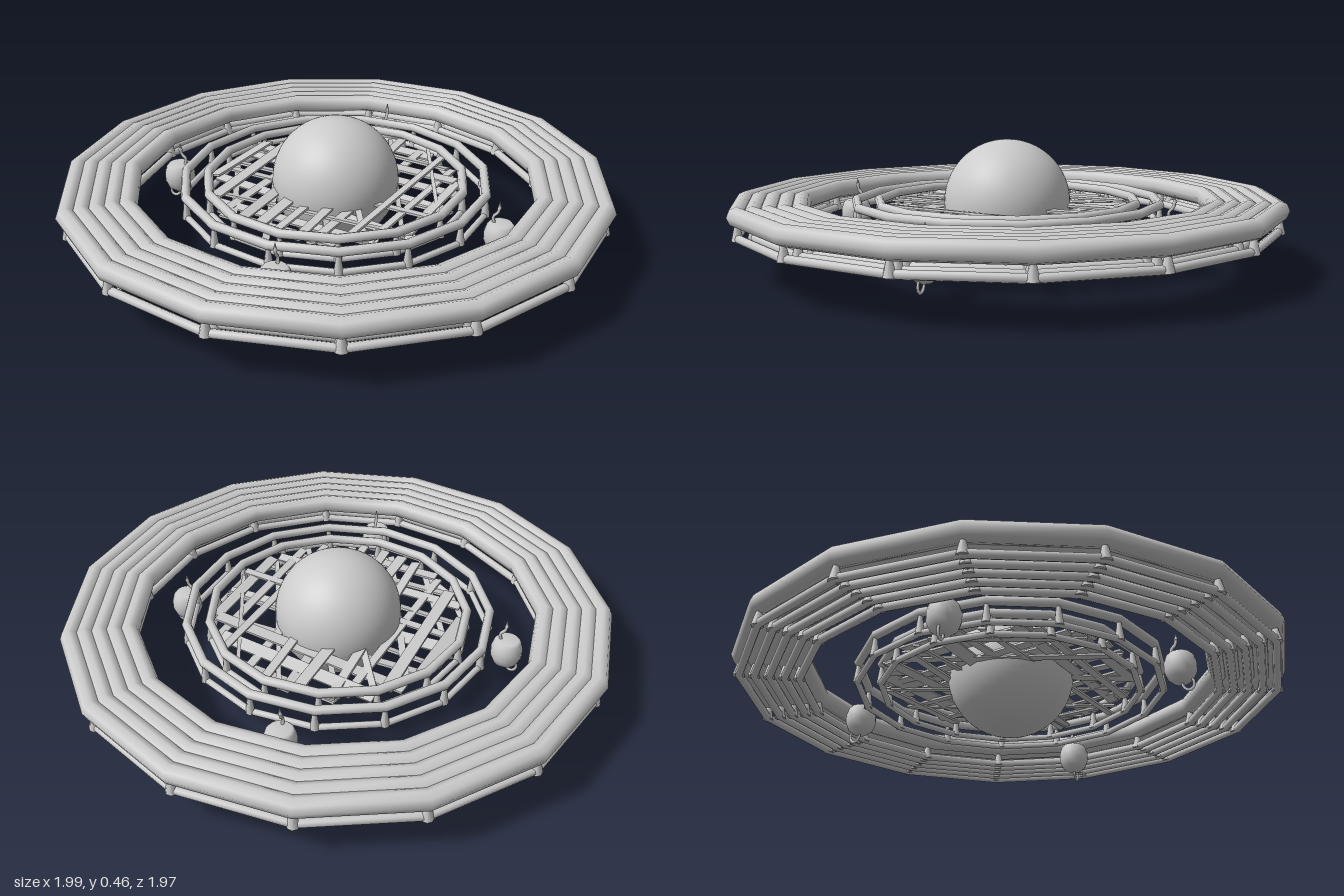
import * as THREE from 'three';

export function createModel() {
  const model = new THREE.Group();
  const mat = new THREE.MeshStandardMaterial({ color: 0xcccccc, side: THREE.DoubleSide });
  const SIDES = 15;
  const add = (parent, name, geometry) => {
    const mesh = new THREE.Mesh(geometry, mat);
    mesh.name = name;
    parent.add(mesh);
    return mesh;
  };
  let seed = 7;
  const jitter = (amount) => {
    seed = (seed * 16807) % 2147483647;
    return (seed / 2147483647 - 0.5) * 2 * amount;
  };

  // central globe
  add(model, 'globe', new THREE.SphereGeometry(0.23, 48, 32)).position.y = 0.233;

  // fifteen-sided hoop with one corner pointing to the back
  const hoop = (parent, name, radius, tube, y) => {
    const geometry = new THREE.TorusGeometry(radius, tube, 8, SIDES);
    geometry.rotateX(-Math.PI / 2).rotateY(Math.PI / 2);
    add(parent, name, geometry).position.y = y;
  };

  // small tapered posts at the corners joining upper and lower hoops
  const posts = (parent, radius, width, y0, y1) => {
    for (let i = 0; i < SIDES; i++) {
      const a = (i / SIDES) * Math.PI * 2;
      const post = add(parent, 'post', new THREE.CylinderGeometry(width * 0.4, width, y1 - y0, 8));
      post.position.set(Math.sin(a) * radius, (y0 + y1) / 2, -Math.cos(a) * radius);
    }
  };

  // broad outer deck: five heavy hoops above five thin ones
  const deck = new THREE.Group();
  deck.name = 'outerDeck';
  for (let i = 0; i < 5; i++) {
    const r = 0.963 - i * 0.052;
    hoop(deck, 'upperHoop', r, 0.035, 0.235);
    hoop(deck, 'lowerHoop', r, 0.015, 0.163);
    posts(deck, r, 0.022, 0.155, 0.21);
  }
  model.add(deck);

  // two slim inner rails
  const rails = new THREE.Group();
  rails.name = 'innerRails';
  for (const r of [0.553, 0.47]) {
    hoop(rails, 'upperRail', r, 0.017, 0.24);
    hoop(rails, 'lowerRail', r, 0.012, 0.165);
    posts(rails, r, 0.017, 0.16, 0.235);
  }
  model.add(rails);

  // irregular woven lattice of flat slats inside the rails
  const lattice = new THREE.Group();
  lattice.name = 'lattice';
  const weave = (angle, count, spacing, width, y) => {
    for (let i = 0; i < count; i++) {
      const offset = (i - (count - 1) / 2) * spacing + jitter(0.015);
      const half = Math.sqrt(Math.max(0.02, 0.45 ** 2 - offset ** 2));
      const slat = add(lattice, 'slat', new THREE.BoxGeometry(half * 2, 0.008, width + jitter(0.012)));
      const a = angle + jitter(0.07);
      slat.rotation.set(jitter(0.35), a, jitter(0.025), 'YXZ');
      slat.position.set(Math.sin(angle) * offset, y + jitter(0.012), Math.cos(angle) * offset);
    }
  };
  weave(0.4, 11, 0.08, 0.038, 0.215);
  weave(0.4 + Math.PI / 2, 11, 0.08, 0.038, 0.2);
  weave(0.95, 6, 0.14, 0.016, 0.208);
  model.add(lattice);

  // hanging pods: rounded body, curved horn on top, loop underneath
  const profile = [[0, -0.057], [0.025, -0.054], [0.046, -0.038], [0.057, -0.01],
    [0.057, 0.02], [0.049, 0.045], [0.04, 0.055], [0, 0.055]].map(([x, y]) => new THREE.Vector2(x, y));
  const hornCurve = new THREE.CatmullRomCurve3([[0.02, 0.04, 0], [0.028, 0.075, 0],
    [0.012, 0.095, 0], [0.008, 0.115, 0]].map((p) => new THREE.Vector3(...p)));
  const pod = (x, y, z) => {
    const group = new THREE.Group();
    group.name = 'pod';
    add(group, 'podBody', new THREE.LatheGeometry(profile, 20));
    add(group, 'podHorn', new THREE.TubeGeometry(hornCurve, 10, 0.006, 6));
    const tip = add(group, 'hornTip', new THREE.ConeGeometry(0.008, 0.03, 6));
    tip.position.set(0.008, 0.125, 0);
    const loop = add(group, 'podLoop', new THREE.TorusGeometry(0.02, 0.005, 6, 14));
    loop.scale.y = 1.3;
    loop.position.set(-0.022, -0.057, 0);
    loop.rotation.z = -0.3;
    group.position.set(x, y, z);
    group.rotation.y = Math.atan2(z, -x);
    model.add(group);
  };
  pod(0.32, 0.115, 0.53);
  pod(0.53, 0.155, -0.34);
  pod(-0.37, 0.155, -0.5);
  pod(-0.51, 0.155, 0.36);

  return model;
}
